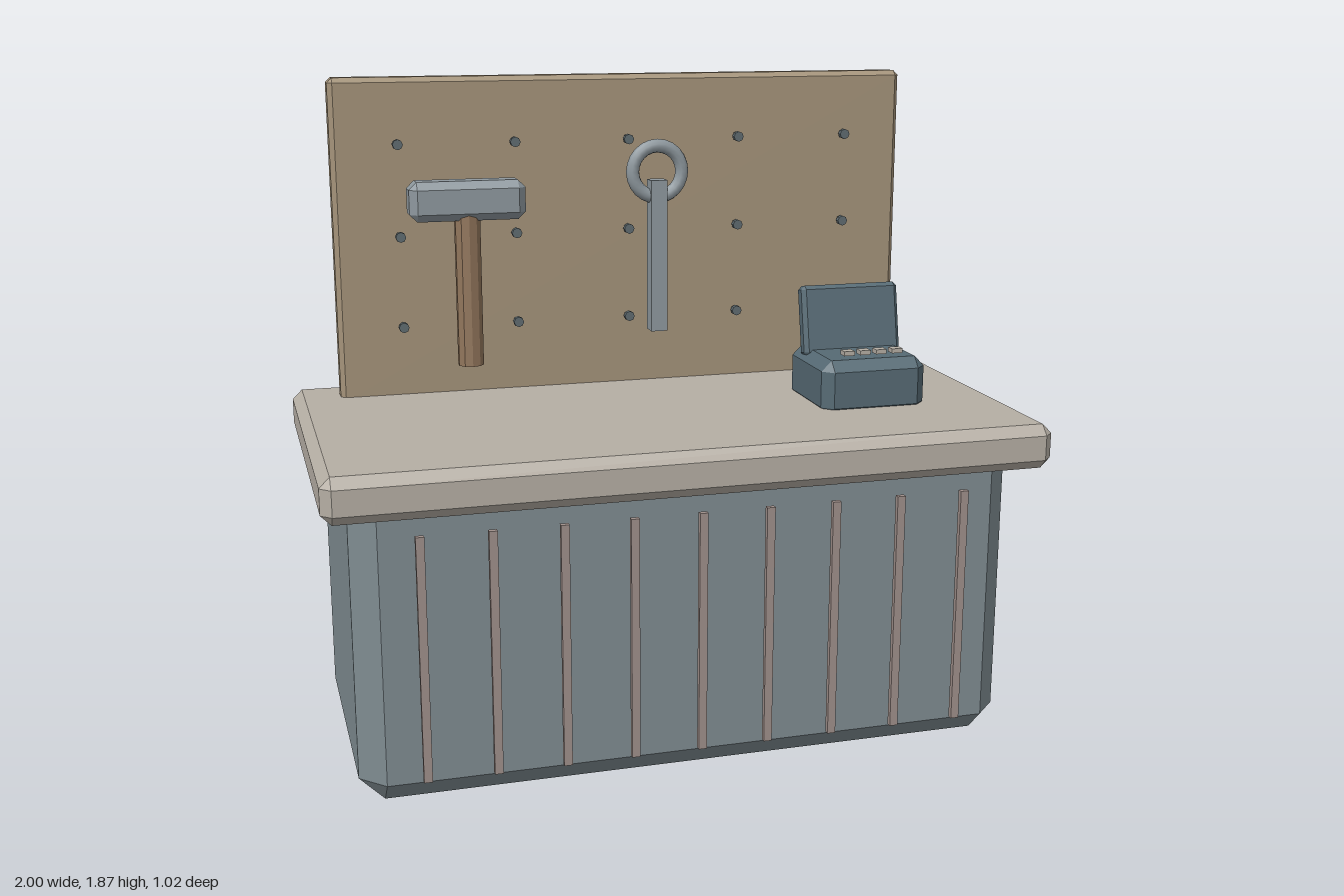
import * as THREE from 'three';
import { ConvexGeometry } from 'three/addons/geometries/ConvexGeometry.js';

const mat = (color, flatShading = true) => new THREE.MeshStandardMaterial({ color, flatShading });
const MATS = {
  cabinet: mat(0x7f8c91), counter: mat(0xb5aea4), board: mat(0xa4937a), slat: mat(0x9f8f8a),
  metal: mat(0x8e989e), smoothMetal: mat(0x8e989e, false), wood: mat(0x92765c), peg: mat(0x5f6b70),
  till: mat(0x566a74), screen: mat(0x4a5a60), key: mat(0xb5aea4),
};

// Box with every edge and corner cut at 45 degrees
function chamferBox(w, h, d, c) {
  const pts = [];
  const half = [w / 2, h / 2, d / 2];
  for (const sx of [-1, 1]) for (const sy of [-1, 1]) for (const sz of [-1, 1]) {
    for (let full = 0; full < 3; full++) {
      const p = half.map((v, i) => (i === full ? v : v - c));
      pts.push(new THREE.Vector3(p[0] * sx, p[1] * sy, p[2] * sz));
    }
  }
  return new ConvexGeometry(pts);
}

export function createModel() {
  const model = new THREE.Group();
  model.name = 'workbenchCounter';

  const add = (name, geometry, material, x, y, z, parent = model) => {
    const mesh = new THREE.Mesh(geometry, material);
    mesh.name = name;
    mesh.position.set(x, y, z);
    parent.add(mesh);
    return mesh;
  };
  const group = (name) => {
    const g = new THREE.Group();
    g.name = name;
    model.add(g);
    return g;
  };

  // Cabinet and worktop
  add('cabinet', chamferBox(1.85, 0.88, 0.84, 0.068), MATS.cabinet, 0, 0.44, 0);
  add('worktop', chamferBox(2, 0.126, 1.02, 0.028), MATS.counter, 0, 0.884, 0);

  // Upright slats in front of the cabinet
  const slats = group('frontSlats');
  for (let i = 0; i < 9; i++) {
    add('slat', new THREE.BoxGeometry(0.023, 0.68, 0.016), MATS.slat, (i - 4) * 0.189 + 0.004, 0.422, 0.447, slats);
  }

  // Tool board with its pegs
  add('toolBoard', chamferBox(1.735, 0.95, 0.074, 0.014), MATS.board, 0, 1.395, -0.378);
  const pegs = group('pegs');
  const pegGeometry = new THREE.CylinderGeometry(0.015, 0.015, 0.018, 8).rotateX(Math.PI / 2);
  for (let col = -2; col <= 2; col++) {
    for (let row = 0; row < 3; row++) {
      add('peg', pegGeometry, MATS.peg, col * 0.34, 1.153 + row * 0.265, -0.315, pegs);
    }
  }

  // Hammer
  const hammer = group('hammer');
  add('hammerHead', chamferBox(0.336, 0.114, 0.1, 0.022), MATS.metal, -0.493, 1.525, -0.274, hammer);
  add('hammerHandle', new THREE.CylinderGeometry(0.038, 0.038, 0.45, 10), MATS.wood, -0.493, 1.267, -0.268, hammer);

  // Ring wrench
  const wrench = group('wrench');
  add('wrenchRing', new THREE.TorusGeometry(0.075, 0.02, 10, 24), MATS.smoothMetal, 0.072, 1.592, -0.257, wrench);
  add('wrenchShaft', new THREE.BoxGeometry(0.05, 0.45, 0.05), MATS.metal, 0.072, 1.343, -0.257, wrench);

  // Till: base, tilted display and a row of keys
  const till = group('till');
  add('tillBase', chamferBox(0.315, 0.165, 0.3, 0.03), MATS.till, 0.6, 1.003, 0.037, till);
  const display = new THREE.Group();
  display.name = 'display';
  display.position.set(0.6, 1.164, -0.037);
  display.rotation.x = -0.2;
  till.add(display);
  add('displayCase', chamferBox(0.3, 0.208, 0.05, 0.012), MATS.till, 0, 0, 0, display);
  add('displayScreen', new THREE.BoxGeometry(0.24, 0.155, 0.006), MATS.screen, 0, -0.015, -0.036, display);
  for (let i = 0; i < 4; i++) {
    add('key', new THREE.BoxGeometry(0.032, 0.013, 0.03), MATS.key, 0.6 + (i - 1.5) * 0.049, 1.103, 0.142, till);
  }

  return model;
}
